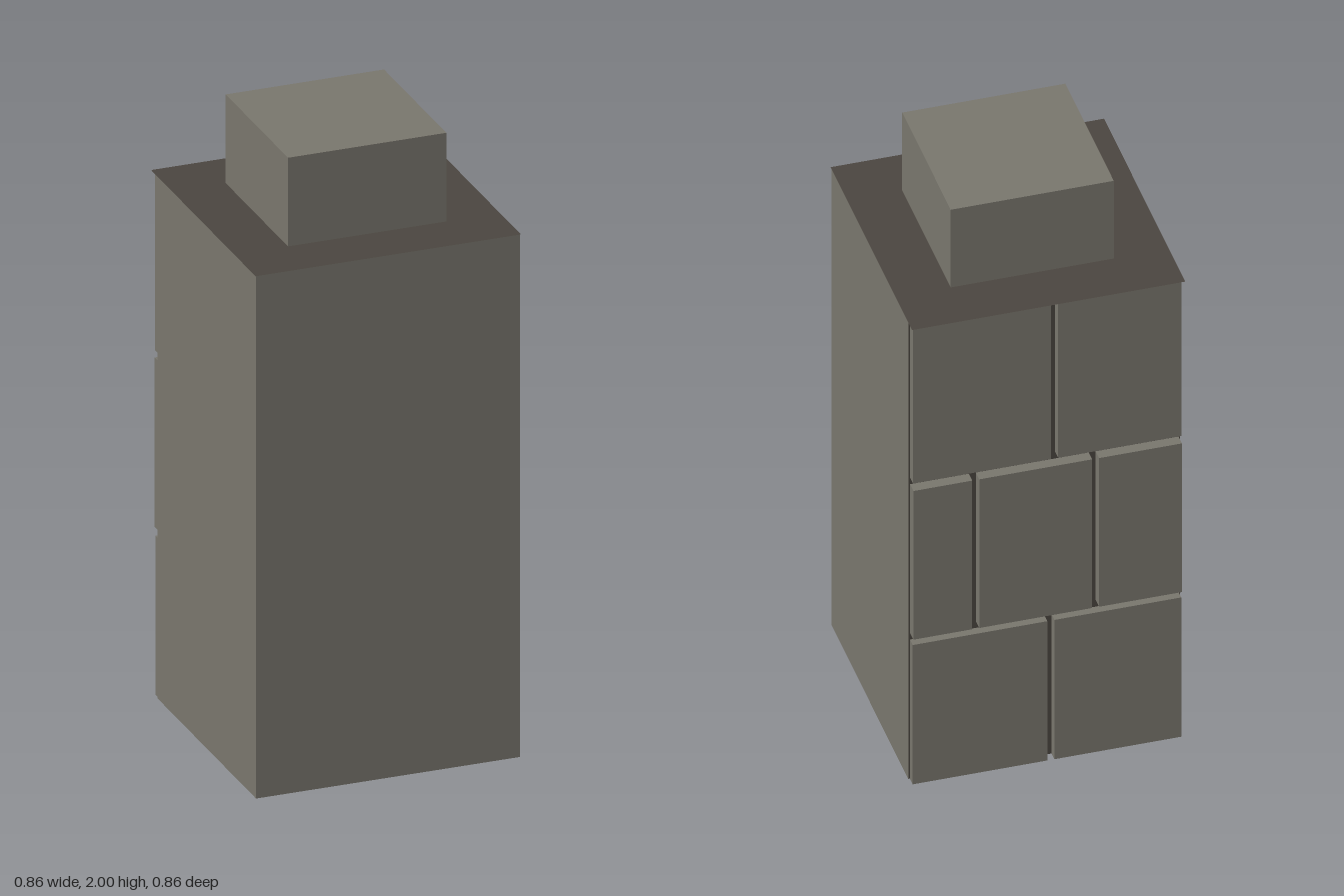
import * as THREE from 'three';

export function createModel() {
  const model = new THREE.Group();
  model.name = 'chimney';

  const stone = new THREE.MeshStandardMaterial({ color: 0x78756c, side: THREE.DoubleSide });
  stone.name = 'stone grey';
  const mortar = new THREE.MeshStandardMaterial({ color: 0x4a453f, side: THREE.DoubleSide });
  mortar.name = 'dark mortar';

  const half = 0.425, backZ = -0.38, height = 1.71;

  function add(name, geometry, material, x, y, z) {
    const mesh = new THREE.Mesh(geometry, material);
    mesh.name = name;
    mesh.position.set(x, y, z);
    model.add(mesh);
    return mesh;
  }

  // Hollow shaft: thin walls, open underneath
  const depth = half - backZ, midZ = (half + backZ) / 2;
  add('frontWall', new THREE.PlaneGeometry(half * 2, height), stone, 0, height / 2, half);
  for (const side of [1, -1]) {
    const wall = add(side > 0 ? 'leftWall' : 'rightWall',
      new THREE.PlaneGeometry(depth, height), stone, side * half, height / 2, midZ);
    wall.rotation.y = side * Math.PI / 2;
  }
  const back = add('mortarWall', new THREE.PlaneGeometry(half * 2, height), mortar, 0, height / 2, backZ);
  back.rotation.y = Math.PI;

  // Flat ledge and the block above it
  const ledge = add('topLedge', new THREE.PlaneGeometry(0.855, 0.855), mortar, 0, height, 0);
  ledge.rotation.x = -Math.PI / 2;
  add('cap', new THREE.BoxGeometry(0.51, 0.29, 0.51), stone, 0, 1.855, 0);

  // Staggered stone blocks on the back, with joints at the given x
  const joint = 0.022, end = 0.42;
  const rows = [
    { y0: 0, y1: 0.52, z: -0.41, joints: [-0.012] },
    { y0: 0.545, y1: 1.1, z: -0.417, joints: [-0.15, 0.225] },
    { y0: 1.125, y1: 1.705, z: -0.413, joints: [-0.023] },
  ];
  for (const { y0, y1, z, joints } of rows) {
    const stops = [-end - joint / 2, ...joints, end + joint / 2];
    for (let i = 0; i < stops.length - 1; i++) {
      const x0 = stops[i] + joint / 2, x1 = stops[i + 1] - joint / 2;
      const thick = backZ - 0.001 - z;
      add('backBlock', new THREE.BoxGeometry(x1 - x0, y1 - y0, thick), stone,
        (x0 + x1) / 2, (y0 + y1) / 2, z + thick / 2);
    }
  }
  return model;
}
